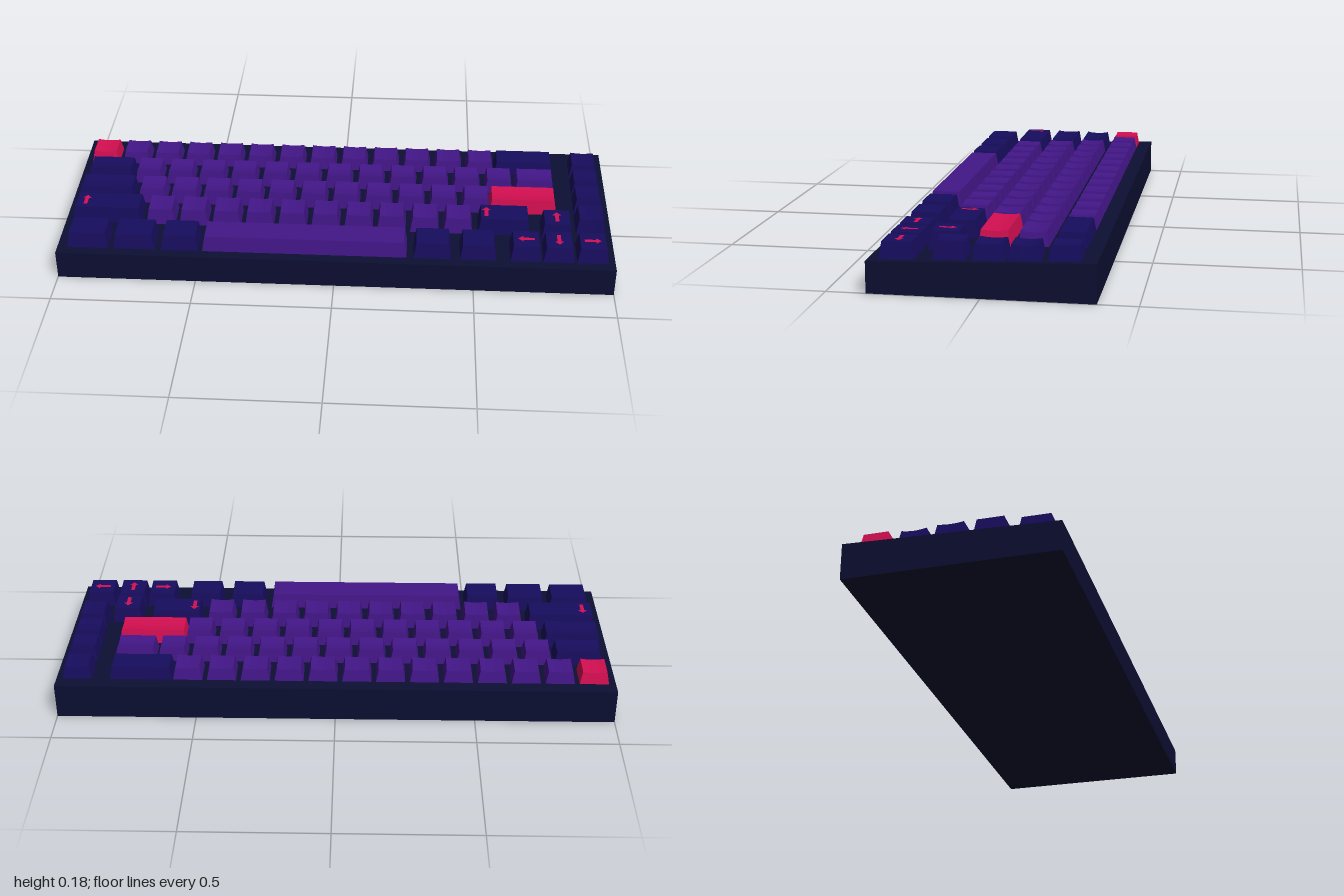
import * as THREE from 'three';

const material = (color, side = THREE.FrontSide) => new THREE.MeshStandardMaterial({ color, side });
const mats = {
  body: material(0x0c0f33),
  navy: material(0x170d5e),
  purple: material(0x431688),
  pink: material(0xd40f52),
  mark: material(0xd40f52, THREE.DoubleSide),
};

const PITCH = 0.121;
const deckY = (z) => 0.118 - 0.0326 * z; // sloping top of the case

// Tapered keycap with a scooped top; dishX / dishZ are the scoop depths along each axis
function keycap(w, d, z, top, dishX, dishZ) {
  const geo = new THREE.BoxGeometry(1, 1, 1, 6, 1, 6);
  const p = geo.attributes.position;
  for (let i = 0; i < p.count; i++) {
    const u = p.getX(i) * 2, v = p.getZ(i) * 2;
    if (p.getY(i) > 0) {
      const y = top - dishX * (1 - u * u) - dishZ * (1 - v * v);
      p.setXYZ(i, u * (w / 2 - 0.01), y, v * (d / 2 - 0.009));
    } else {
      const dz = v * d / 2;
      p.setXYZ(i, u * w / 2, deckY(z + dz) - 0.004, dz);
    }
  }
  geo.computeVertexNormals();
  return geo;
}

// Flat arrow pointing to -z, lying on a key
function arrowGeometry() {
  const s = new THREE.Shape();
  [[0, 0.03], [0.017, 0.01], [0.007, 0.01], [0.007, -0.03], [-0.007, -0.03], [-0.007, 0.01], [-0.017, 0.01]]
    .forEach(([x, y], i) => (i ? s.lineTo(x, y) : s.moveTo(x, y)));
  s.closePath();
  return new THREE.ShapeGeometry(s).rotateX(-Math.PI / 2);
}

export function createModel() {
  const model = new THREE.Group();
  model.name = 'keyboard';

  // Wedge case: side profile extruded across the width
  const side = new THREE.Shape();
  side.moveTo(-0.368, 0);
  side.lineTo(0.368, 0);
  side.lineTo(0.368, deckY(-0.368));
  side.lineTo(-0.368, deckY(0.368));
  side.closePath();
  const caseGeo = new THREE.ExtrudeGeometry(side, { depth: 2, bevelEnabled: false });
  caseGeo.translate(0, 0, -1).rotateY(Math.PI / 2);
  const body = new THREE.Mesh(caseGeo, mats.body);
  body.name = 'case';
  model.add(body);

  // Rows: special keys as [name, x, width, colour], plus a run of equal character keys
  const rows = [
    { name: 'numberRow', z: -0.265, d: 0.104, top: 0.175, start: -0.802, count: 12, dishX: 0.004, dishZ: 0,
      keys: [['escapeKey', -0.923, 0.106, 'pink'], ['backspaceKey', 0.697, 0.225, 'navy'], ['homeKey', 0.925, 0.106, 'navy']] },
    { name: 'upperLetterRow', z: -0.138, d: 0.104, top: 0.174, start: -0.733, count: 12, dishX: 0, dishZ: 0.005,
      keys: [['tabKey', -0.88, 0.175, 'navy'], ['backslashKey', 0.733, 0.15, 'purple'], ['deleteKey', 0.925, 0.106, 'navy']] },
    { name: 'homeLetterRow', z: -0.01, d: 0.108, top: 0.173, start: -0.7, count: 11, dishX: 0, dishZ: 0.004,
      keys: [['capsKey', -0.872, 0.21, 'navy'], ['enterKey', 0.684, 0.25, 'pink'], ['pageUpKey', 0.925, 0.106, 'navy', -0.025]] },
    { name: 'lowerLetterRow', z: 0.122, d: 0.11, top: 0.175, start: -0.647, count: 10, dishX: 0.004, dishZ: 0,
      keys: [['leftShiftKey', -0.845, 0.255, 'navy'], ['rightShiftKey', 0.61, 0.19, 'navy'],
        ['upArrowKey', 0.8, 0.112, 'navy', 0.143], ['pageDownKey', 0.925, 0.106, 'navy', 0.103]] },
    { name: 'spaceRow', z: 0.273, d: 0.116, top: 0.165, start: 0, count: 0, dishX: 0.003, dishZ: 0,
      keys: [['controlKey', -0.89, 0.15, 'navy'], ['systemKey', -0.722, 0.15, 'navy'], ['leftAltKey', -0.557, 0.135, 'navy'],
        ['spaceBar', -0.108, 0.735, 'purple'], ['rightAltKey', 0.35, 0.135, 'navy'], ['functionKey', 0.513, 0.13, 'navy'],
        ['leftArrowKey', 0.683, 0.112, 'navy'], ['downArrowKey', 0.8, 0.112, 'navy'], ['rightArrowKey', 0.92, 0.112, 'navy']] },
  ];

  for (const row of rows) {
    const group = new THREE.Group();
    group.name = row.name;
    const keys = [...row.keys];
    for (let i = 0; i < row.count; i++) keys.push(['characterKey', row.start + i * PITCH, 0.106, 'purple']);
    for (const [name, x, w, color, z = row.z] of keys) {
      const dishX = w < 0.12 && !name.includes('Arrow') ? row.dishX : 0;
      const key = new THREE.Mesh(keycap(w, row.d, z, row.top, dishX, row.dishZ), mats[color]);
      key.name = name;
      key.position.set(x, 0, z);
      group.add(key);
    }
    model.add(group);
  }

  // Direction marks on the cursor and shift keys: x, key top, z, turn
  const marks = [
    [0.8, 0.175, 0.143, 0], [0.683, 0.165, 0.273, Math.PI / 2], [0.8, 0.165, 0.273, Math.PI],
    [0.92, 0.165, 0.273, -Math.PI / 2], [-0.928, 0.175, 0.122, 0], [0.545, 0.175, 0.122, 0],
  ];
  const arrow = arrowGeometry();
  for (const [x, top, z, turn] of marks) {
    const mark = new THREE.Mesh(arrow, mats.mark);
    mark.name = 'arrowMark';
    mark.position.set(x, top + 0.001, z);
    mark.rotation.y = turn;
    model.add(mark);
  }
  return model;
}
